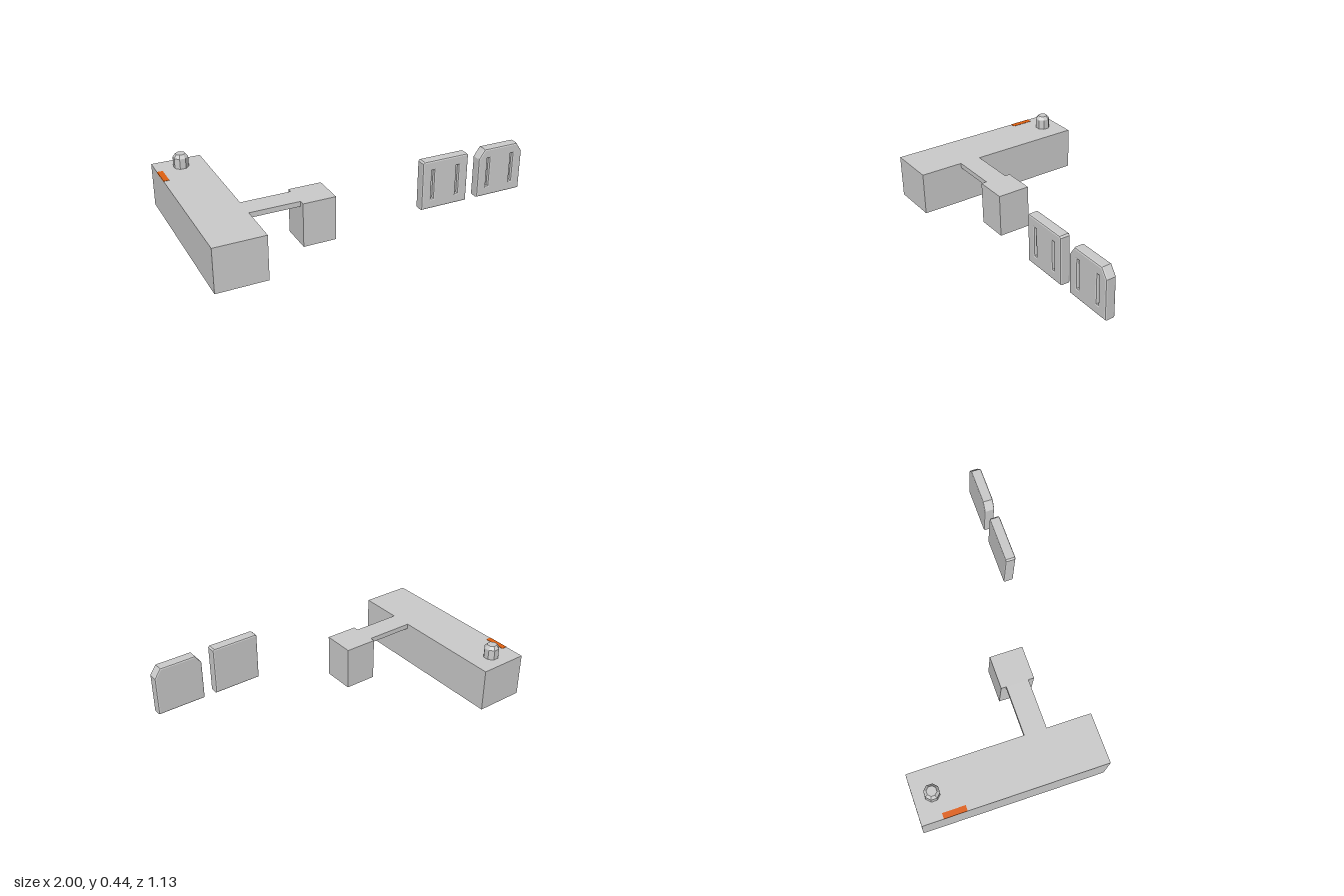
import * as THREE from 'three';

const grey = new THREE.MeshStandardMaterial({ color: 0xcccccc, flatShading: true });
const orange = new THREE.MeshStandardMaterial({ color: 0xe06010 });

// Box given by its min and max corners
function box(name, [x0, y0, z0], [x1, y1, z1], material = grey) {
  const mesh = new THREE.Mesh(new THREE.BoxGeometry(x1 - x0, y1 - y0, z1 - z0), material);
  mesh.position.set((x0 + x1) / 2, (y0 + y1) / 2, (z0 + z1) / 2);
  mesh.name = name;
  return mesh;
}

// Bevelled plate with two blind slots in its front; cutX, cutY clip the top corners
function slottedPlate(name, cutX, cutY) {
  const bevel = 0.01, h = 0.1525 - bevel;
  const outline = () => {
    const pts = [[-h, -h], [h, -h], [h, h - cutY], [h - cutX, h], [-h + cutX, h], [-h, h - cutY]];
    return new THREE.Shape(pts.map(([x, y]) => new THREE.Vector2(x, y)));
  };
  const layer = (part, shape, z0, z1) => {
    const geo = new THREE.ExtrudeGeometry(shape, {
      depth: z1 - z0 - 2 * bevel, bevelEnabled: true,
      bevelSize: bevel, bevelThickness: bevel, bevelSegments: 2,
    });
    geo.translate(0, 0, z0 + bevel);
    const mesh = new THREE.Mesh(geo, grey);
    mesh.name = part;
    return mesh;
  };
  // The front layer carries the slots, the back layer closes them
  const front = outline();
  for (const side of [-1, 1]) {
    const x = side * 0.083, w = 0.0175, s = 0.1;
    front.holes.push(new THREE.Path([[x - w, -s], [x - w, s], [x + w, s], [x + w, -s]]
      .map(([a, b]) => new THREE.Vector2(a, b))));
  }
  const plate = new THREE.Group();
  plate.name = name;
  plate.add(layer('plateBack', outline(), -0.032, 0.014), layer('plateFace', front, -0.012, 0.032));
  return plate;
}

export function createModel() {
  const model = new THREE.Group();

  // Long body, thin bridge and side block
  model.add(
    box('body', [-1, 0, -0.565], [-0.692, 0.275, 0.565]),
    box('bridge', [-0.692, 0.243, 0.152], [-0.385, 0.275, 0.29]),
    box('sideBlock', [-0.385, 0, 0.12], [-0.18, 0.275, 0.325]),
    box('edgeMarker', [-1, 0.268, -0.435], [-0.965, 0.277, -0.295], orange),
  );

  // Octagonal knob with a chamfered top
  const profile = [[0.047, 0], [0.047, 0.065], [0.03, 0.086], [0, 0.086]];
  const knob = new THREE.Mesh(
    new THREE.LatheGeometry(profile.map(([r, y]) => new THREE.Vector2(r, y)), 8, Math.PI / 8), grey);
  knob.name = 'knob';
  knob.position.set(-0.845, 0.275, -0.455);
  model.add(knob);

  // Pair of slotted plates, the outer one with clipped corners
  const inner = slottedPlate('squarePlate', 0.004, 0.004);
  inner.position.set(0.463, 0.284, 0.42);
  const outer = slottedPlate('clippedPlate', 0.035, 0.05);
  outer.position.set(0.8455, 0.284, 0.42);
  model.add(inner, outer);

  return model;
}
